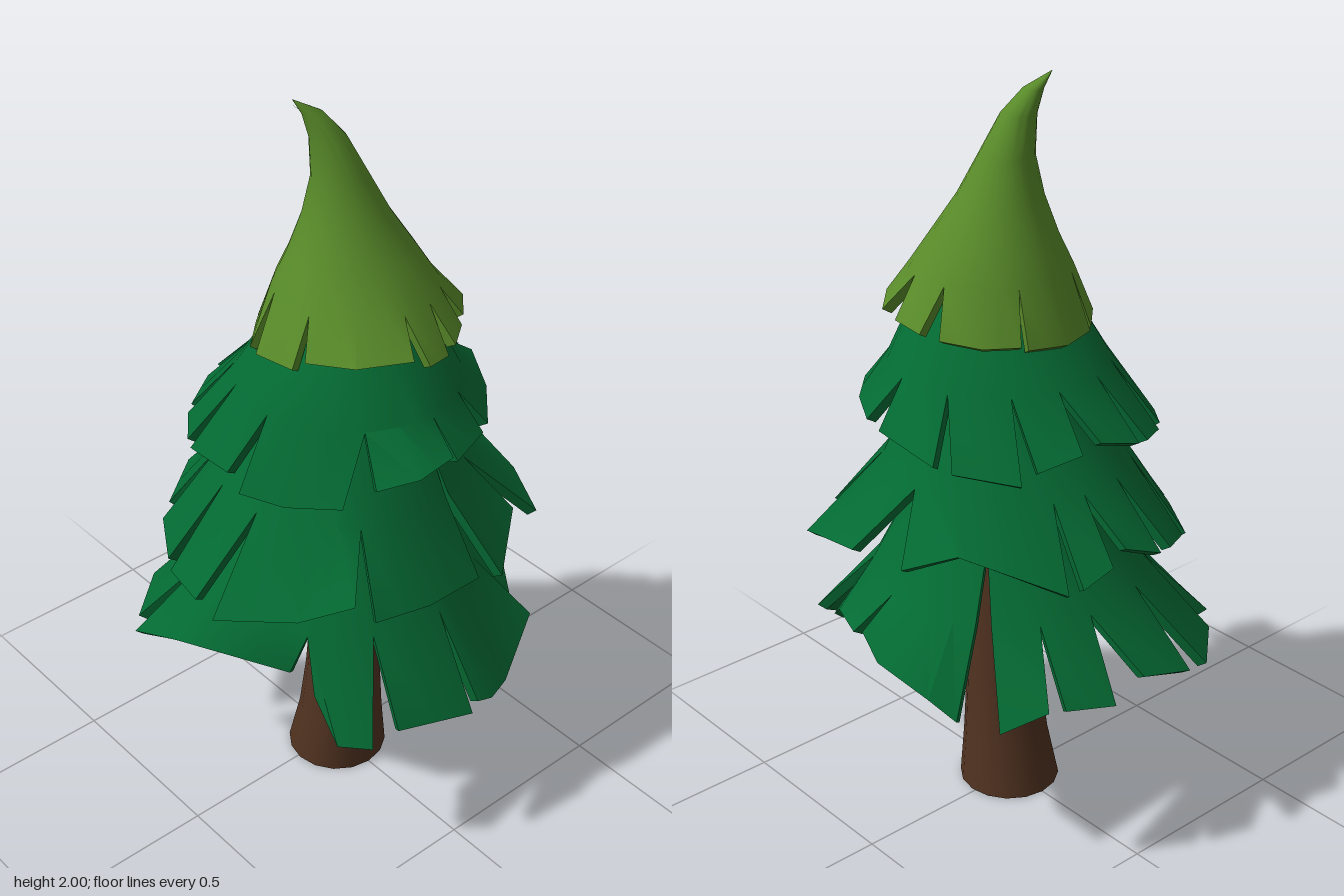
import * as THREE from 'three';
import { toCreasedNormals } from 'three/addons/utils/BufferGeometryUtils.js';

const RAD = Math.PI / 180;
const THICK = 0.028;
const lerp = THREE.MathUtils.lerp;

// A skirt of needles: round rings at the top, split into flaps by V-shaped cuts below.
// rings: [y, radius, centreX, centreZ] from top to bottom.
// flaps: rim corners as [angle, radius, y, angle, radius, y, ...] joined by straight edges;
// angles in degrees run from the front (+z) towards +x, in rising order.
// deep: flaps whose starting cut reaches one ring higher.
function skirt(rings, flaps, deep = [], rimX = 0, rimZ = 0) {
  const pos = [];
  const quad = (a, b, c, d) => {
    for (const p of [a, b, c, a, c, d]) pos.push(p.x, p.y, p.z);
  };
  const last = rings.length;
  const count = flaps.length;
  const cutRow = (i) => (deep.includes(i) ? last - 2 : last - 1);
  const around = (a, r, y, cx, cz) =>
    new THREE.Vector3(cx + r * Math.sin(a * RAD), y, cz + r * Math.cos(a * RAD));

  flaps.forEach((flap, i) => {
    const a0 = flap[0], a1 = flap.at(-3);
    const next = (i + 1) % count;
    const prevEnd = flaps[(i + count - 1) % count].at(-3) - (i === 0 ? 360 : 0);
    const nextStart = flaps[next][0] + (next === 0 ? 360 : 0);
    const seam0 = (prevEnd + a0) / 2, seam1 = (a1 + nextStart) / 2;
    const cut0 = cutRow(i), cut1 = cutRow(next);
    const open = (row, cut) => Math.max(0, (row - cut) / (last - cut));

    // Columns: each rim edge is divided evenly
    const columns = [];
    for (let e = 0; e + 3 < flap.length; e += 3) {
      const steps = Math.max(1, Math.ceil((flap[e + 3] - flap[e]) / 14));
      for (let s = columns.length ? 1 : 0; s <= steps; s++) columns.push({ e, t: s / steps });
    }
    const seg = columns.length - 1;

    const grid = (inset) => {
      const dr = inset * 0.85, dy = inset * 0.5;
      const rows = rings.map(([y, r, cx, cz], k) => {
        const left = lerp(seam0, a0, open(k, cut0));
        const right = lerp(seam1, a1, open(k, cut1));
        return columns.map(({ e, t }) => {
          const u = (lerp(flap[e], flap[e + 3], t) - a0) / (a1 - a0);
          return around(lerp(left, right, u), Math.max(0, r - dr), y - dy, cx, cz);
        });
      });
      rows.push(columns.map(({ e, t }) => {
        const corner = (c) => around(flap[c], flap[c + 1] - dr, flap[c + 2] - dy, rimX, rimZ);
        return corner(e).lerp(corner(e + 3), t);
      }));
      return rows;
    };

    const o = grid(0), n = grid(THICK);
    for (let k = 0; k < last; k++) {
      for (let j = 0; j < seg; j++) {
        quad(o[k][j], o[k + 1][j], o[k + 1][j + 1], o[k][j + 1]);
        quad(n[k][j], n[k][j + 1], n[k + 1][j + 1], n[k + 1][j]);
      }
      // Cut edges of the flap
      if (k >= cut0) quad(o[k][0], n[k][0], n[k + 1][0], o[k + 1][0]);
      if (k >= cut1) quad(o[k][seg], o[k + 1][seg], n[k + 1][seg], n[k][seg]);
    }
    for (let j = 0; j < seg; j++) quad(o[last][j], n[last][j], n[last][j + 1], o[last][j + 1]);
  });

  const geo = new THREE.BufferGeometry();
  geo.setAttribute('position', new THREE.Float32BufferAttribute(pos, 3));
  return toCreasedNormals(geo, 0.65);
}

// Tapered trunk that flares at the foot and leans a little
function trunkGeometry() {
  const geo = new THREE.CylinderGeometry(1, 1, 1.5, 16, 10);
  geo.translate(0, 0.75, 0);
  const p = geo.attributes.position;
  for (let i = 0; i < p.count; i++) {
    const y = p.getY(i);
    const r = 0.105 - 0.03 * y + 0.033 * Math.exp(-y * 5);
    const cx = 0.045 - 0.035 * Math.exp(-y * 4);
    p.setXYZ(i, cx + p.getX(i) * r, y, p.getZ(i) * r);
  }
  return toCreasedNormals(geo, 0.7);
}

export function createModel() {
  const bark = new THREE.MeshStandardMaterial({ color: 0x503220 });
  bark.name = 'bark brown';
  const darkGreen = new THREE.MeshStandardMaterial({ color: 0x046a33 });
  darkGreen.name = 'dark green';
  const lightGreen = new THREE.MeshStandardMaterial({ color: 0x588a29 });
  lightGreen.name = 'light green';

  const tree = new THREE.Group();
  tree.name = 'tree';
  const add = (name, geo, mat) => {
    const mesh = new THREE.Mesh(geo, mat);
    mesh.name = name;
    tree.add(mesh);
  };

  add('trunk', trunkGeometry(), bark);

  add('lowerBranches', skirt(
    [[1.0, 0.19, 0.03, 0], [0.85, 0.265, 0.025, 0], [0.68, 0.36, 0.015, 0]],
    [
      [-31, 0.55, 0.47, -14, 0.47, 0.54, 31, 0.37, 0.55],
      [42, 0.42, 0.53, 50, 0.51, 0.44, 60, 0.52, 0.43],
      [67, 0.53, 0.49, 93, 0.52, 0.43],
      [98, 0.50, 0.43, 103, 0.515, 0.42, 113, 0.51, 0.41, 132, 0.535, 0.51],
      [139, 0.48, 0.52, 153, 0.47, 0.60, 168, 0.47, 0.60],
      [175, 0.475, 0.63, 187, 0.51, 0.60, 204, 0.505, 0.54, 212, 0.49, 0.48],
      [225, 0.51, 0.47, 239, 0.50, 0.52],
      [244, 0.50, 0.52, 260, 0.50, 0.50],
      [268, 0.52, 0.57, 289, 0.53, 0.50],
      [301, 0.54, 0.46, 321, 0.54, 0.46],
    ], [6]), darkGreen);

  add('middleBranches', skirt(
    [[1.32, 0.16, 0.04, 0], [1.15, 0.245, 0.035, 0], [1.0, 0.32, 0.02, 0]],
    [
      [-15, 0.47, 0.77, 5, 0.50, 0.80],
      [13, 0.515, 0.78, 38, 0.47, 0.81, 55, 0.49, 0.88],
      [62, 0.46, 0.80, 82, 0.44, 0.79, 104, 0.45, 0.79],
      [109, 0.495, 0.79, 120, 0.47, 0.79, 134, 0.47, 0.85],
      [142, 0.54, 0.79, 157, 0.51, 0.84, 174, 0.49, 0.87],
      [191, 0.45, 0.85, 210, 0.42, 0.91, 247, 0.44, 0.81],
      [252, 0.44, 0.82, 263, 0.44, 0.86],
      [268, 0.44, 0.90, 285, 0.45, 0.84],
      [292, 0.45, 0.83, 311, 0.45, 0.79],
      [317, 0.46, 0.77, 339, 0.46, 0.77],
    ], [3]), darkGreen);

  add('upperBranches', skirt(
    [[1.48, 0.14, 0.05, -0.01], [1.4, 0.215, 0.055, -0.01], [1.27, 0.285, 0.04, -0.01]],
    [
      [-24, 0.38, 1.09, 2, 0.36, 1.11],
      [9, 0.365, 1.07, 30, 0.37, 1.08, 52, 0.40, 1.11],
      [62, 0.445, 1.19, 76, 0.45, 1.20, 92, 0.42, 1.20],
      [96, 0.41, 1.17, 116, 0.40, 1.17],
      [122, 0.40, 1.17, 145, 0.39, 1.18, 168, 0.41, 1.19],
      [176, 0.41, 1.18, 200, 0.40, 1.13],
      [206, 0.38, 1.11, 232, 0.38, 1.09],
      [238, 0.37, 1.12, 256, 0.37, 1.15],
      [264, 0.37, 1.17, 284, 0.38, 1.13],
      [291, 0.38, 1.12, 308, 0.38, 1.10],
      [314, 0.38, 1.10, 330, 0.38, 1.09],
    ]), darkGreen);

  // Pointed crown with its tip bent to the front
  add('crown', skirt(
    [
      [2.0, 0, -0.045, 0.09], [1.96, 0.026, -0.026, 0.045], [1.9, 0.045, -0.005, 0.017],
      [1.8, 0.07, 0.012, -0.006], [1.7, 0.108, 0.022, -0.018], [1.6, 0.16, 0.034, -0.028],
      [1.52, 0.205, 0.044, -0.03],
    ],
    [
      [-20, 0.265, 1.37, 13, 0.265, 1.40],
      [19, 0.25, 1.42, 48, 0.275, 1.44, 78, 0.275, 1.44],
      [88, 0.275, 1.41, 105, 0.265, 1.40],
      [110, 0.27, 1.42, 127, 0.26, 1.43],
      [134, 0.26, 1.44, 158, 0.28, 1.43],
      [170, 0.27, 1.42, 190, 0.27, 1.41],
      [201, 0.26, 1.40, 225, 0.26, 1.39, 246, 0.26, 1.39],
      [250, 0.26, 1.38, 275, 0.265, 1.37, 299, 0.265, 1.37],
      [305, 0.26, 1.37, 332, 0.27, 1.37],
    ], [], 0.05, -0.03), lightGreen);

  return tree;
}
